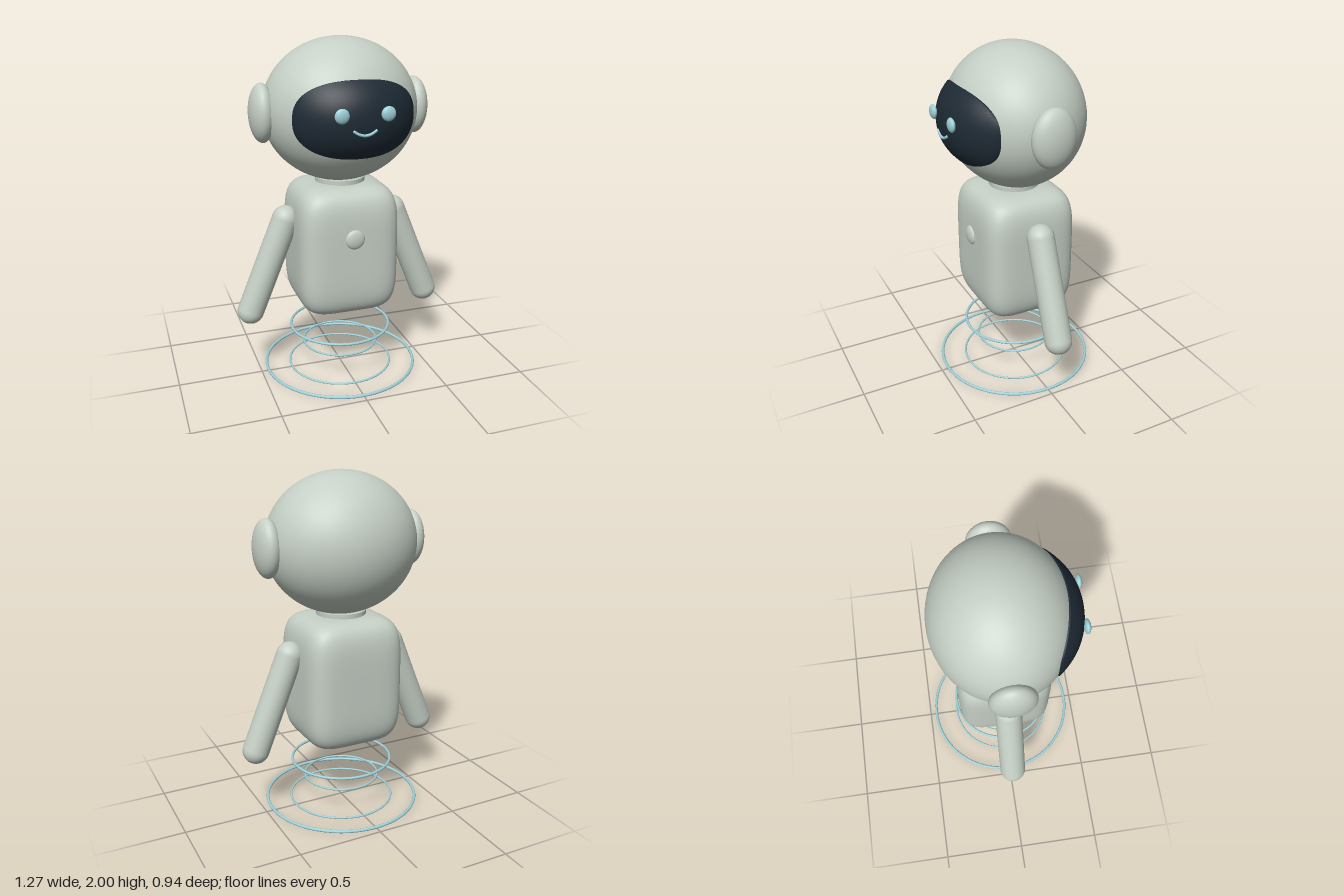
import * as THREE from 'three';
import { mergeVertices, toCreasedNormals } from 'three/addons/utils/BufferGeometryUtils.js';

const HEAD = { y: 1.595, rx: 0.445, ry: 0.405, rz: 0.387 };

function material(name, color) {
  const m = new THREE.MeshStandardMaterial({ color });
  m.name = name;
  return m;
}

// Depth of the head's front surface at an offset from its centre
function headZ(x, y) {
  return HEAD.rz * Math.sqrt(Math.max(0, 1 - (x / HEAD.rx) ** 2 - (y / HEAD.ry) ** 2));
}

// Pillow-like block: a subdivided cube pushed onto a superellipsoid
function pillow(rx, ry, rz, n) {
  let g = new THREE.BoxGeometry(2, 2, 2, 32, 32, 32);
  g.deleteAttribute('uv');
  g.deleteAttribute('normal');
  g = mergeVertices(g);
  const p = g.attributes.position;
  const v = new THREE.Vector3();
  for (let i = 0; i < p.count; i++) {
    v.fromBufferAttribute(p, i);
    const len = (Math.abs(v.x) ** n + Math.abs(v.y) ** n + Math.abs(v.z) ** n) ** (1 / n);
    p.setXYZ(i, (v.x / len) * rx, (v.y / len) * ry, (v.z / len) * rz);
  }
  g.computeVertexNormals();
  return g;
}

// Domed face plate following the head, with a short skirt sunk into it
function visorGeometry(rx, ry) {
  const rows = 16, cols = 72, n = 2.4;
  const pos = [], index = [];
  for (let j = 0; j <= rows + 1; j++) {
    const r = Math.min(j / rows, 1);
    for (let i = 0; i < cols; i++) {
      const a = (i / cols) * Math.PI * 2;
      const c = Math.cos(a), s = Math.sin(a);
      const x = r * rx * Math.sign(c) * Math.abs(c) ** (2 / n);
      const y = r * ry * Math.sign(s) * Math.abs(s) ** (2 / n);
      const lift = j > rows ? -0.03 : 0.01 + 0.035 * (1 - r ** 3);
      pos.push(x, y, headZ(x, y) + lift);
      if (j <= rows) {
        const k = j * cols + i, k2 = j * cols + ((i + 1) % cols);
        if (j > 0) index.push(k, k + cols, k2);
        index.push(k2, k + cols, k2 + cols);
      }
    }
  }
  const g = new THREE.BufferGeometry();
  g.setAttribute('position', new THREE.Float32BufferAttribute(pos, 3));
  g.setIndex(index);
  return toCreasedNormals(g, 0.7);
}

export function createModel() {
  const model = new THREE.Group();
  model.name = 'hoverRobot';
  const shell = material('shellGrey', 0xc5cfc5);
  const dark = material('visorNavy', 0x1e2a34);
  const glow = material('paleCyan', 0x9dcfd7);

  function add(name, geometry, mat, x = 0, y = 0, z = 0) {
    const mesh = new THREE.Mesh(geometry, mat);
    mesh.name = name;
    mesh.position.set(x, y, z);
    model.add(mesh);
    return mesh;
  }
  const ellipsoid = (rx, ry, rz) => new THREE.SphereGeometry(1, 48, 32).scale(rx, ry, rz);

  // Head, face plate and neck
  add('head', new THREE.SphereGeometry(1, 72, 48).scale(HEAD.rx, HEAD.ry, HEAD.rz), shell, 0, HEAD.y, 0);
  add('visor', visorGeometry(0.343, 0.21), dark, 0, HEAD.y - 0.003, 0);
  add('neck', new THREE.CylinderGeometry(0.145, 0.145, 0.045, 48), shell, 0, 1.185, 0);

  // Smile
  const smile = new THREE.QuadraticBezierCurve3(
    new THREE.Vector3(-0.06, 1.55, 0.425),
    new THREE.Vector3(0, 1.505, 0.437),
    new THREE.Vector3(0.06, 1.55, 0.425)
  );
  add('smile', new THREE.TubeGeometry(smile, 24, 0.008, 10), glow);
  for (const t of [0, 1]) {
    const p = smile.getPoint(t);
    add('smileEnd', new THREE.SphereGeometry(0.008, 12, 8), glow, p.x, p.y, p.z);
  }

  // Body and chest button
  add('body', pillow(0.298, 0.388, 0.281, 5), shell, 0, 0.796, 0);
  add('chestButton', ellipsoid(0.057, 0.057, 0.022), shell, 0, 0.902, 0.279);

  // Mirrored eyes, ears and arms
  const shoulder = new THREE.Vector2(0.33, 0.972);
  const hand = new THREE.Vector2(0.554, 0.421);
  const reach = hand.clone().sub(shoulder);
  for (const side of [1, -1]) {
    const label = side > 0 ? 'left' : 'right';
    add(label + 'Eye', ellipsoid(0.04, 0.04, 0.019), glow, side * 0.127, 1.634, 0.427);
    add(label + 'Ear', ellipsoid(0.073, 0.165, 0.126), shell, side * 0.45, HEAD.y, 0);
    const arm = add(label + 'Arm', new THREE.CapsuleGeometry(0.079, reach.length(), 16, 32), shell,
      side * (shoulder.x + hand.x) / 2, (shoulder.y + hand.y) / 2, 0);
    arm.rotation.z = side * Math.atan2(reach.x, -reach.y);
  }

  // Hover rings: radius, tube, height
  const rings = [
    [0.3, 0.008, 0.262],
    [0.224, 0.006, 0.148],
    [0.459, 0.009, 0.009],
    [0.312, 0.006, 0.009],
  ];
  rings.forEach(([radius, tube, y], i) => {
    add('hoverRing' + (i + 1), new THREE.TorusGeometry(radius, tube, 12, 96).rotateX(Math.PI / 2), glow, 0, y, 0);
  });

  return model;
}
